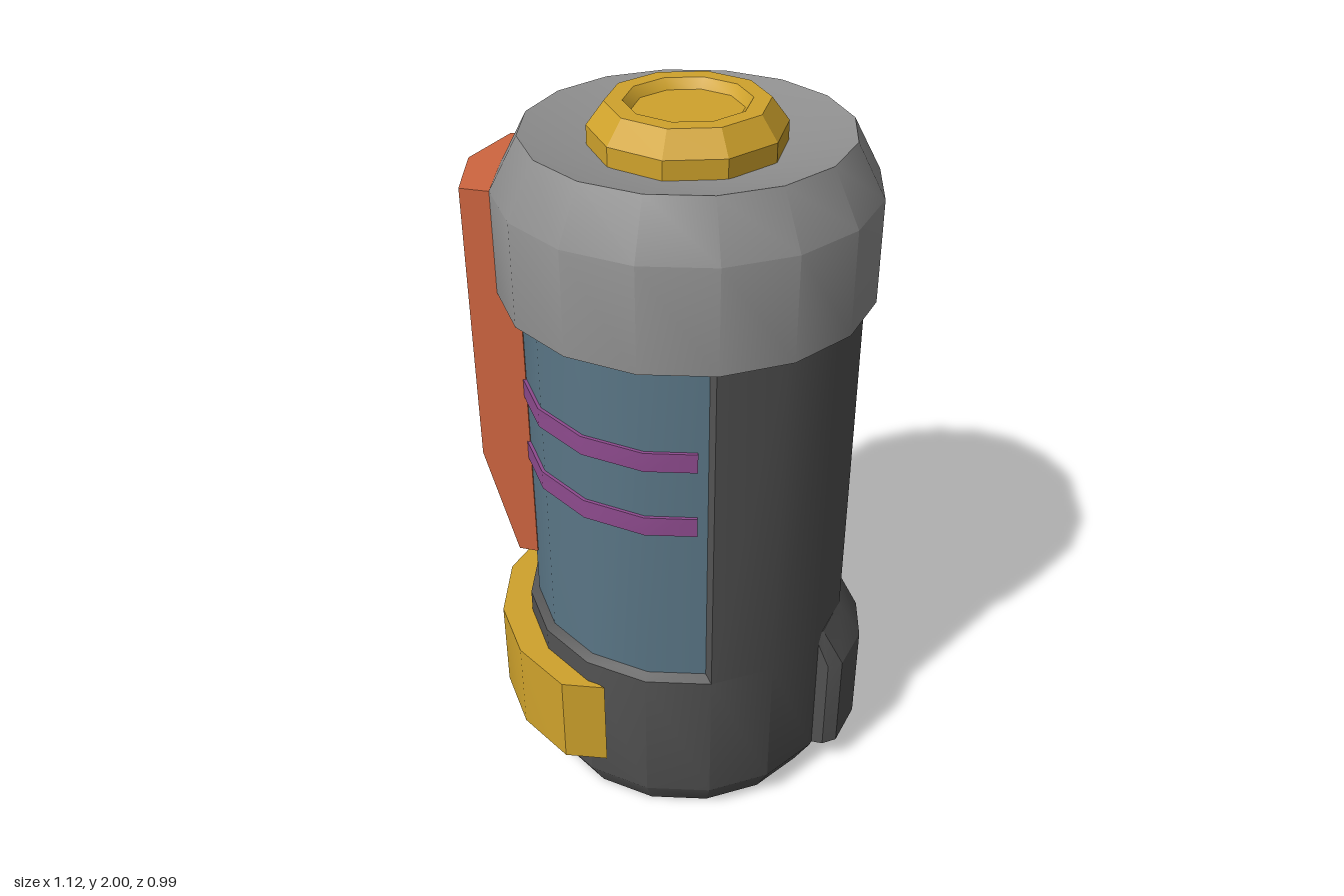
import * as THREE from 'three';
import { toCreasedNormals } from 'three/addons/utils/BufferGeometryUtils.js';

const STEP = 22.5; // the canister is sixteen-sided
const rad = THREE.MathUtils.degToRad;

// Point on a sixteen-sided ring; angle 0 is the front, 90 the model's left.
function onRing(angle, r, y) {
  const off = ((angle % STEP) + STEP) % STEP - STEP / 2;
  const d = r * Math.cos(rad(STEP / 2)) / Math.cos(rad(off));
  return [d * Math.sin(rad(angle)), y, d * Math.cos(rad(angle))];
}

function build(points, index, crease = 0.5) {
  const g = new THREE.BufferGeometry();
  g.setAttribute('position', new THREE.Float32BufferAttribute(points.flat(), 3));
  g.setIndex(index);
  return toCreasedNormals(g, crease);
}

// Surface through columns of points, columns running anticlockwise from above.
function grid(cols) {
  const n = cols[0].length, index = [];
  for (let i = 0; i < cols.length - 1; i++) {
    for (let j = 0; j < n - 1; j++) {
      const a = i * n + j, b = a + n;
      index.push(a, b, b + 1, a, b + 1, a + 1);
    }
  }
  return build(cols.flat(), index);
}

// Closed solid through convex level outlines, bottom to top.
function loft(levels) {
  const n = levels[0].length, index = [], last = (levels.length - 1) * n;
  for (let l = 0; l < levels.length - 1; l++) {
    for (let k = 0; k < n; k++) {
      const a = l * n + k, b = l * n + (k + 1) % n;
      index.push(a, b, b + n, a, b + n, a + n);
    }
  }
  for (let k = 1; k < n - 1; k++) {
    index.push(0, k + 1, k, last, last + k, last + k + 1);
  }
  return build(levels.flat(), index, 0.4);
}

function lathe(profile, sides) {
  const pts = profile.map(([x, y]) => new THREE.Vector2(x, y));
  return toCreasedNormals(new THREE.LatheGeometry(pts, sides), 0.5);
}

export function createModel() {
  const material = (name, color) => {
    const m = new THREE.MeshStandardMaterial({ color });
    m.name = name;
    return m;
  };
  const charcoal = material('charcoal', 0x545454);
  const grey = material('grey', 0x909090);
  const yellow = material('yellow', 0xd0a32c);
  const blue = material('slate blue', 0x5a7686);
  const orange = material('orange', 0xcf6640);
  const purple = material('purple', 0x8e4b8e);

  const canister = new THREE.Group();
  canister.name = 'canister';
  canister.position.x = 0.025;
  const add = (name, geometry, mat) => {
    const mesh = new THREE.Mesh(geometry, mat);
    mesh.name = name;
    canister.add(mesh);
    return mesh;
  };

  // Body: full base, then a shell open on the window side
  add('bodyBase', lathe([[0, 0], [0.415, 0], [0.465, 0.09], [0.465, 0.51]], 16), charcoal);
  const shell = [];
  for (let a = STEP; a <= 157.5; a += STEP) shell.push([onRing(a, 0.465, 0.51), onRing(a, 0.465, 1.55)]);
  add('bodyShell', grid(shell), charcoal);
  const corner = [[157.5, 0.87], [180, 0.575], [185, 0.51]];
  add('bodyCorner', grid(corner.map(([a, y]) => [onRing(a, 0.465, 0.51), onRing(a, 0.465, y)])), charcoal);

  // Bevelled rim around the window: outer angle, outer y, inner angle, inner y
  const rim = [[-202.5, 1.55, -200.5, 1.55], [-202.5, 0.87, -200.5, 0.88], [-175, 0.51, -174, 0.53]];
  for (let a = -157.5; a <= 0; a += STEP) rim.push([a, 0.51, a, 0.53]);
  rim.push([22.5, 0.51, 20.5, 0.53], [22.5, 1.55, 20.5, 1.55]);
  add('windowRim', grid(rim.map(([a, y, b, v]) => [onRing(a, 0.465, y), onRing(b, 0.432, v)])), charcoal);

  // Window and its two bands
  const pane = [];
  for (let a = -202.5; a <= STEP; a += STEP) pane.push([onRing(a, 0.44, 0.51), onRing(a, 0.44, 1.55)]);
  add('window', grid(pane), blue);
  const bandAngles = [-197.5];
  for (let a = -180; a <= 0; a += STEP) bandAngles.push(a);
  bandAngles.push(17.5);
  for (const y of [1.005, 1.203]) {
    const section = (a, r) => [[0.43, y], [r, y], [r, y + 0.055], [0.43, y + 0.055]].map(([d, h]) => onRing(a, d, h));
    const cols = bandAngles.map(a => section(a, 0.449));
    cols.unshift(section(-197.5, 0.43));
    cols.push(section(17.5, 0.43));
    add('windowBand', grid(cols), purple);
  }

  // Cap with a dished top
  add('cap', lathe([[0.43, 1.51], [0.495, 1.51], [0.495, 1.79], [0.42, 1.93], [0.25, 1.89], [0, 1.89]], 16), grey);

  // Ten-sided knob with a shallow recess
  add('knob', lathe([[0.25, 1.88], [0.25, 1.94], [0.205, 2], [0.16, 2], [0.14, 1.975], [0, 1.975]], 10), yellow);

  // Raised fin at the foot of the closed side
  const fin = (y, xs) => [[0.4, 0.165], [xs[0], 0.165], [xs[1], 0.138], [xs[2], 0],
    [xs[1], -0.138], [xs[0], -0.165], [0.4, -0.165]].map(([x, z]) => [x, y, z]);
  add('footFin', loft([
    fin(0.09, [0.465, 0.502, 0.532]),
    fin(0.4, [0.465, 0.502, 0.532]),
    fin(0.51, [0.42, 0.44, 0.464]),
  ]), charcoal);

  // Side grip, tapering at its lower end
  const grip = (y, edge, ridge) => [[-0.395, 0.19], [-0.395, -0.19], [edge, -0.19], [ridge, 0], [edge, 0.19]]
    .map(([x, z]) => [x, y, z]);
  add('sideGrip', loft([
    grip(0.68, -0.45, -0.492),
    grip(1.0, -0.537, -0.585),
    grip(1.79, -0.537, -0.585),
  ]), orange);

  // Wrap-around clip: outer edge mirrored front to back, then the inner edge
  const half = [[-0.125, 0.446], [-0.245, 0.462], [-0.405, 0.357], [-0.516, 0.197]];
  const mirror = pts => pts.map(([x, z]) => [x, -z]).reverse();
  const inner = [];
  for (let a = -157.5; a <= -22.5; a += STEP) {
    const [x, , z] = onRing(a, 0.455, 0);
    inner.push([x, z]);
  }
  const outline = [...half, [-0.559, 0], ...mirror(half), ...inner];
  const shape = new THREE.Shape(outline.map(([x, z]) => new THREE.Vector2(x, -z)));
  const clip = new THREE.ExtrudeGeometry(shape, { depth: 0.28, bevelEnabled: false });
  clip.rotateX(-Math.PI / 2);
  clip.translate(0, 0.16, 0);
  add('clip', toCreasedNormals(clip, 0.5), yellow);

  const model = new THREE.Group();
  model.name = 'model';
  model.add(canister);
  return model;
}
